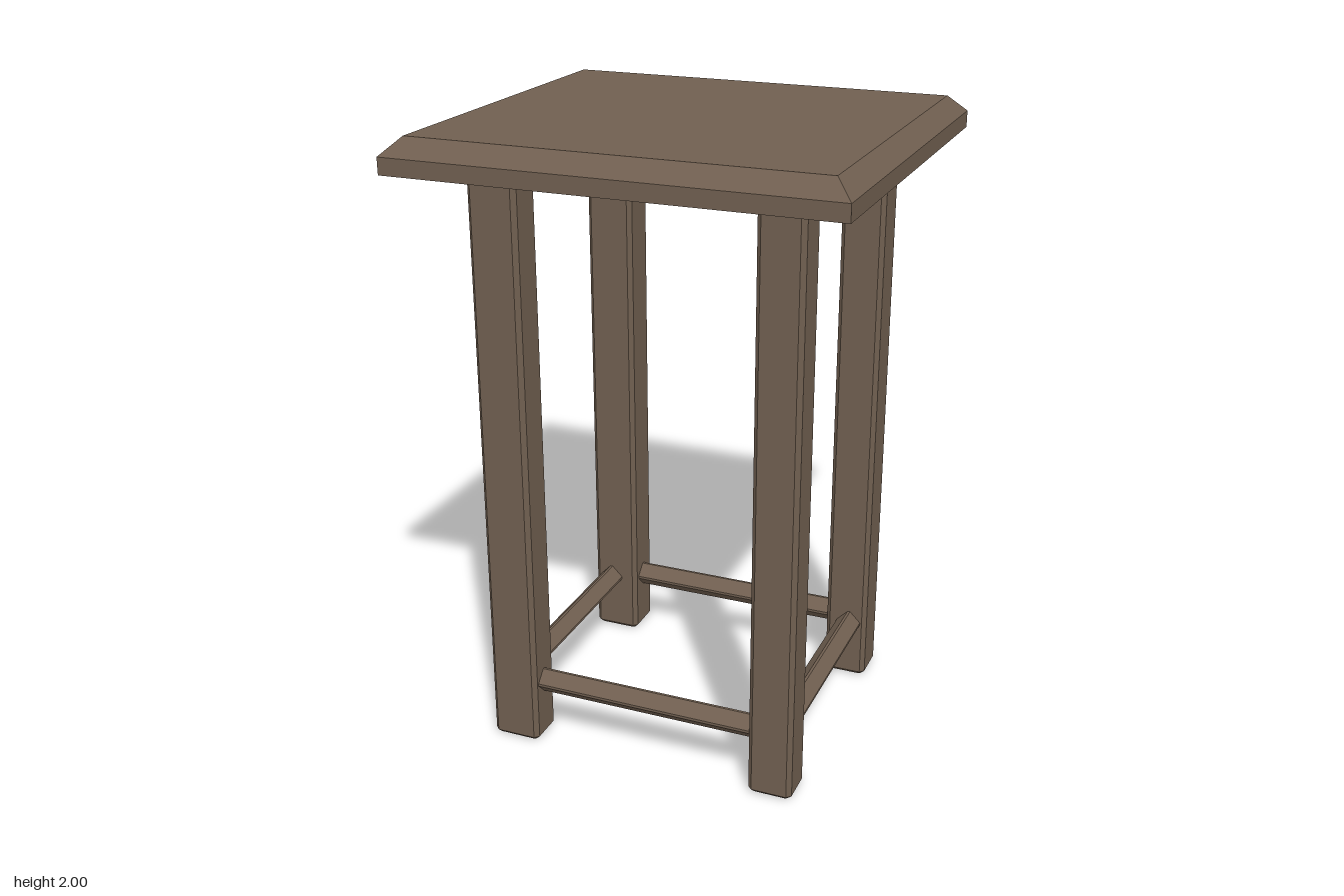
import * as THREE from 'three';

const wood = new THREE.MeshStandardMaterial({ color: 0x705f50, flatShading: true });

// Rectangular bar along +z with all edges chamfered
function chamferedBar(w, h, length, c) {
  const x = w / 2, y = h / 2;
  const shape = new THREE.Shape([
    [x - c, -y], [x, c - y], [x, y - c], [x - c, y],
    [c - x, y], [-x, y - c], [-x, c - y], [c - x, -y],
  ].map(([a, b]) => new THREE.Vector2(a, b)));
  const geo = new THREE.ExtrudeGeometry(shape, {
    depth: length - 2 * c, bevelEnabled: true, bevelSegments: 1,
    bevelThickness: c, bevelSize: c, bevelOffset: -c,
  });
  return geo.translate(0, 0, c);
}

// Slab whose upper rim slopes inward
function slabGeometry(w, d, y0, y1, y2, inset) {
  const geo = new THREE.BoxGeometry(w, 2, d, 1, 2, 1);
  const p = geo.attributes.position;
  for (let i = 0; i < p.count; i++) {
    const y = p.getY(i);
    if (y > 0.5) {
      p.setX(i, p.getX(i) - Math.sign(p.getX(i)) * inset);
      p.setZ(i, p.getZ(i) - Math.sign(p.getZ(i)) * inset);
    }
    p.setY(i, y > 0.5 ? y2 : y < -0.5 ? y0 : y1);
  }
  const flat = geo.toNonIndexed();
  flat.computeVertexNormals();
  return flat;
}

export function createModel() {
  const model = new THREE.Group();
  const add = (name, geo) => {
    const mesh = new THREE.Mesh(geo, wood);
    mesh.name = name;
    model.add(mesh);
    return mesh;
  };

  add('tableTop', slabGeometry(1.374, 1.27, 1.895, 1.947, 2, 0.055));

  // Legs, with slightly uneven hand-cut widths
  const columns = [['Right', -0.512, -0.354], ['Left', 0.374, 0.516]];
  const rows = [['front', 0.333, 0.462], ['back', -0.472, -0.332]];
  for (const [side, xa, xb] of columns) {
    for (const [end, za, zb] of rows) {
      const geo = chamferedBar(xb - xa, zb - za, 1.91, 0.014).rotateX(-Math.PI / 2);
      add(`${end}${side}Leg`, geo).position.set((xa + xb) / 2, 0.003, (za + zb) / 2);
    }
  }

  // Stretchers: square bars turned on edge, running between the legs
  const railY = 0.208;
  const rail = (length) => chamferedBar(0.064, 0.064, length, 0.006).rotateZ(Math.PI / 4);
  for (const [name, z] of [['front', 0.4], ['back', -0.4]]) {
    add(`${name}Stretcher`, rail(0.76).rotateY(Math.PI / 2)).position.set(-0.37, railY, z);
  }
  for (const [name, x] of [['right', -0.45], ['left', 0.455]]) {
    add(`${name}Stretcher`, rail(0.695)).position.set(x, railY, -0.347);
  }
  return model;
}
